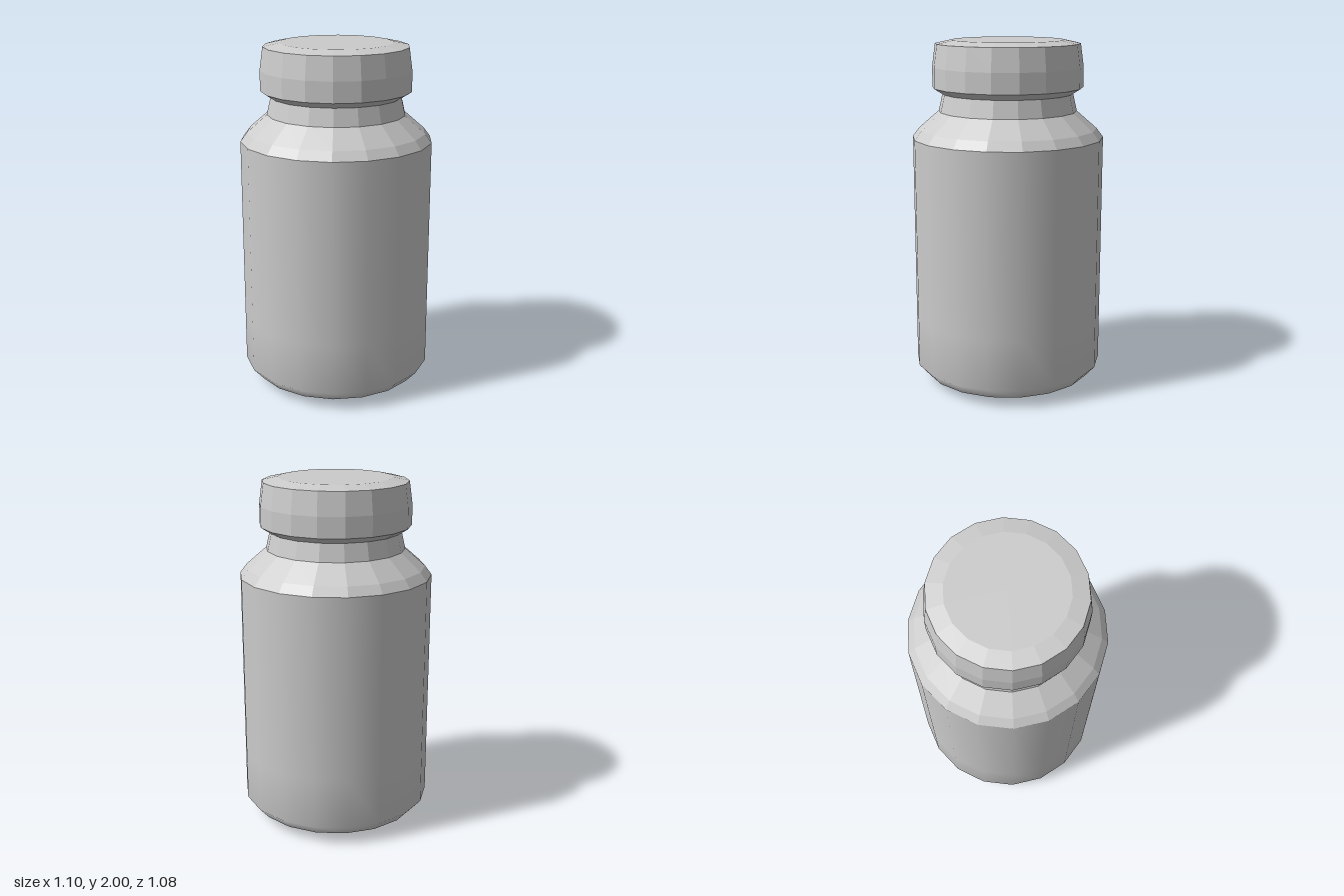
import * as THREE from 'three';

const SIDES = 18;

// Revolve a [radius, height] profile (listed bottom to top), with a corner on the x axis
function turned(name, profile, flatShading) {
  const points = profile.map(([r, y]) => new THREE.Vector2(r, y));
  const geometry = new THREE.LatheGeometry(points, SIDES);
  geometry.rotateY(Math.PI / 2);
  const material = new THREE.MeshStandardMaterial({ color: 0xcccccc, flatShading });
  const mesh = new THREE.Mesh(geometry, material);
  mesh.name = name;
  return mesh;
}

export function createModel() {
  const jar = new THREE.Group();
  jar.name = 'jar';

  // Flat base with a shallow faceted bevel
  jar.add(turned('base', [[0, 0], [0.37, 0], [0.49, 0.045]], true));

  // Smooth wall that rounds in towards the base
  jar.add(turned('wall', [[0.49, 0.045], [0.548, 0.11], [0.548, 0.4], [0.548, 1.45]], false));

  // Faceted shoulder and tapering neck
  jar.add(turned('shoulder', [[0.548, 1.45], [0.51, 1.5], [0.395, 1.6]], true));
  jar.add(turned('neck', [[0.395, 1.6], [0.37, 1.71]], true));

  // Faceted cap with a slanted underside and bevelled top
  jar.add(turned('cap', [
    [0, 1.7], [0.375, 1.7], [0.43, 1.735], [0.43, 1.85],
    [0.412, 1.98], [0.32, 2], [0, 2],
  ], true));

  return jar;
}
